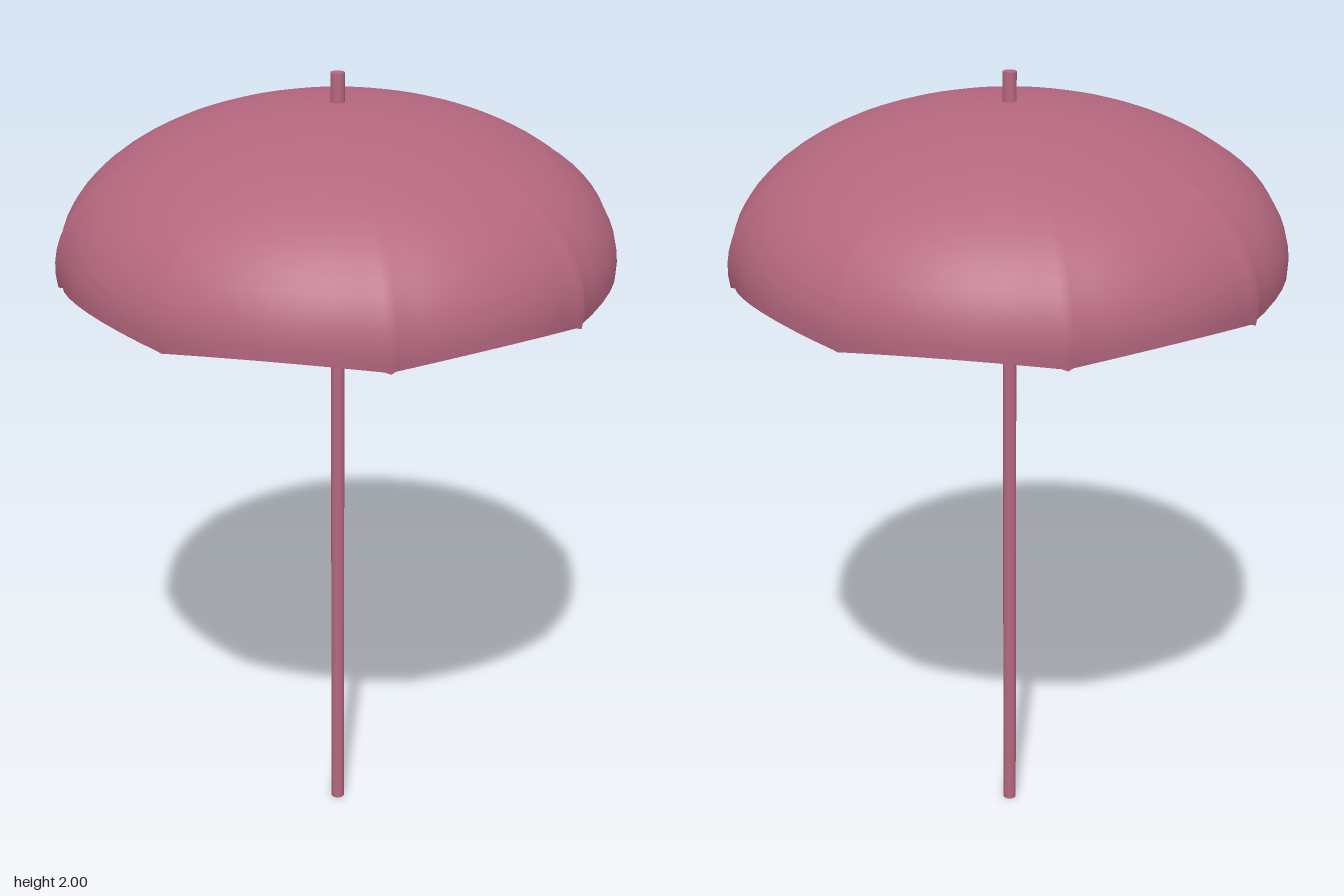
import * as THREE from 'three';

const PANELS = 8, ROWS = 20;
const RADIUS = 0.67, HEIGHT = 0.37, WIDEST_Y = 1.56;
// column positions across one panel; the close pairs form the narrow rib seams
const COLUMNS = [0, 0.025, 0.125, 0.25, 0.375, 0.5, 0.625, 0.75, 0.875, 0.975];

// Scalloped dome: elliptical gores whose hem dips at each rib
function canopyGeometry() {
  const positions = [0, WIDEST_Y + HEIGHT, 0], index = [];
  const n = PANELS * COLUMNS.length;
  for (let row = 1; row <= ROWS; row++) {
    for (let panel = 0; panel < PANELS; panel++) {
      for (const c of COLUMNS) {
        const theta = (panel + c) * Math.PI * 2 / PANELS;
        const across = 2 * c - 1;
        const hemY = 1.535 - 0.025 * across * across;
        const a = Math.acos((hemY - WIDEST_Y) / HEIGHT) * row / ROWS;
        // seams swell towards the hem, least on the side ribs
        const swell = c === 0 ? (panel % 4 === 0 ? 0.002 : 0.01) : 0;
        const r = RADIUS * Math.sin(a) + swell * Math.max(0, (row / ROWS - 0.3) / 0.7);
        positions.push(r * Math.cos(theta), WIDEST_Y + HEIGHT * Math.cos(a), r * Math.sin(theta));
      }
    }
  }
  for (let i = 0; i < n; i++) {
    const j = (i + 1) % n;
    index.push(0, 1 + j, 1 + i);
    for (let row = 0; row < ROWS - 1; row++) {
      const a = 1 + row * n + i, b = 1 + row * n + j;
      index.push(a, b, a + n, b, b + n, a + n);
    }
  }
  const geometry = new THREE.BufferGeometry();
  geometry.setAttribute('position', new THREE.Float32BufferAttribute(positions, 3));
  geometry.setIndex(index);
  geometry.computeVertexNormals();
  return geometry;
}

export function createModel() {
  const group = new THREE.Group();
  group.name = 'parasol';

  const canopy = new THREE.Mesh(canopyGeometry(),
    new THREE.MeshStandardMaterial({ color: 0xb5677f, side: THREE.DoubleSide }));
  canopy.name = 'canopy';

  // Straight pole running through the crown
  const pole = new THREE.Mesh(new THREE.CylinderGeometry(0.017, 0.017, 2, 16),
    new THREE.MeshStandardMaterial({ color: 0xb5677f }));
  pole.name = 'pole';
  pole.position.y = 1;

  group.add(canopy, pole);
  return group;
}
